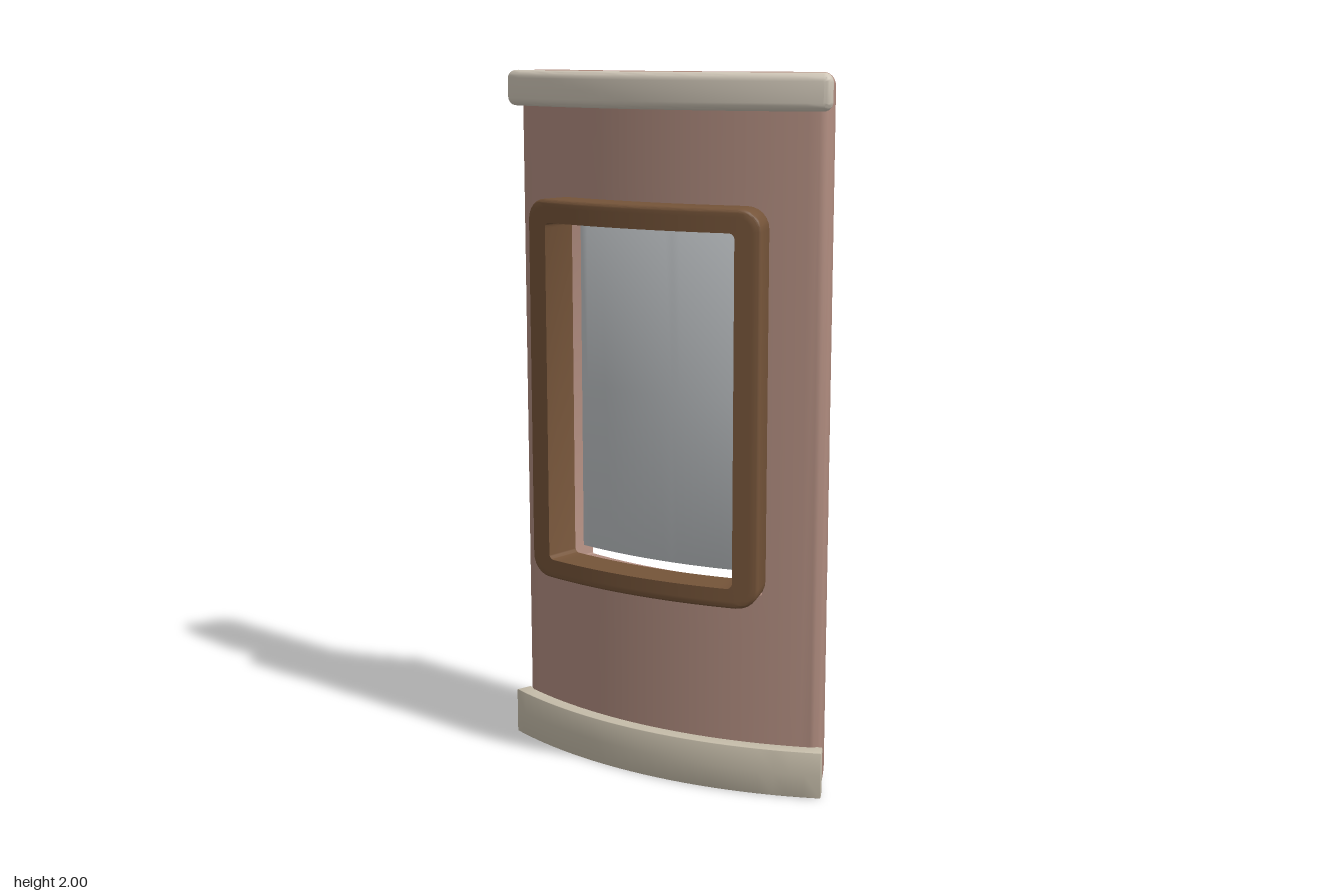
import * as THREE from 'three';
import { toCreasedNormals } from 'three/addons/utils/BufferGeometryUtils.js';

// Everything lies on one 45 degree arc: angle t in degrees, height y, radius r
const CX = -0.48, CZ = -1.127;
const DEG = 180 / Math.PI / 1.3; // degrees per unit of arc length
const place = (t, y, r) => {
  const a = THREE.MathUtils.degToRad(t);
  return [CX + r * Math.sin(a), y, CZ + r * Math.cos(a)];
};

// Rounded rectangle in (t, y), counterclockwise, always the same point count
function loop(t0, t1, y0, y1, rad) {
  const pts = [], corner = 6, edge = 24;
  const centres = [[t1 - rad * DEG, y0 + rad], [t1 - rad * DEG, y1 - rad],
    [t0 + rad * DEG, y1 - rad], [t0 + rad * DEG, y0 + rad]];
  centres.forEach(([ct, cy], q) => {
    for (let i = 0; i <= corner; i++) {
      const a = (q - 1 + i / corner) * Math.PI / 2;
      pts.push([ct + rad * DEG * Math.cos(a), cy + rad * Math.sin(a)]);
    }
    if (q % 2 === 1) { // long curved edges need extra points
      const from = pts[pts.length - 1];
      const to = q === 1 ? t0 + rad * DEG : t1 - rad * DEG;
      for (let i = 1; i < edge; i++) pts.push([from[0] + (to - from[0]) * i / edge, from[1]]);
    }
  });
  return pts;
}

// Curved slab with rounded edges, and an opening if hole is given
function slab({ t, y, r, rad = 0.004, bevel = 0.002, foot = 1, hole }) {
  const outline = inset => loop(t[0] + inset * DEG, t[1] - inset * DEG,
    y[0] + inset * foot, y[1] - inset, Math.max(rad - inset, 0.002));
  const mid = (y[0] + y[1]) / 2;
  const inner = hole ? loop(...hole.t, ...hole.y, hole.rad)
    : loop(t[0] + bevel * DEG, t[1] - bevel * DEG, mid, mid, 0);
  const face = outline(bevel), blend = hole ? 5 : 1, rounds = 5;
  const faceRing = (f, radius) => inner.map(([a, b], j) =>
    place(a + (face[j][0] - a) * f, b + (face[j][1] - b) * f, radius));
  const rings = [];
  for (let i = 0; i < blend; i++) rings.push(faceRing(i / blend, r[1]));
  for (const back of [false, true]) {
    for (let i = 0; i <= rounds; i++) {
      const a = (back ? rounds - i : i) / rounds * Math.PI / 2;
      const drop = bevel * (1 - Math.cos(a));
      rings.push(outline(bevel * (1 - Math.sin(a)))
        .map(([p, q]) => place(p, q, back ? r[0] + drop : r[1] - drop)));
    }
  }
  for (let i = blend - 1; i >= 0; i--) rings.push(faceRing(i / blend, r[0]));

  const n = inner.length, m = rings.length, index = [];
  for (let i = 0; i < (hole ? m : m - 1); i++) {
    for (let j = 0; j < n; j++) {
      const k = (j + 1) % n, a = i * n, b = ((i + 1) % m) * n;
      index.push(a + j, b + j, b + k, a + j, b + k, a + k);
    }
  }
  const geo = new THREE.BufferGeometry();
  geo.setAttribute('position', new THREE.Float32BufferAttribute(rings.flat(2), 3));
  geo.setIndex(index);
  return toCreasedNormals(geo, 0.55);
}

export function createModel() {
  const group = new THREE.Group();
  const material = (name, color) => {
    const m = new THREE.MeshStandardMaterial({ color });
    m.name = name;
    return m;
  };
  const add = (name, mat, options) => {
    const mesh = new THREE.Mesh(slab(options), mat);
    mesh.name = name;
    group.add(mesh);
  };

  // Curved wall with a window opening
  add('wall', material('dusty pink plaster', 0xb08c7f), {
    t: [0, 45], y: [0, 2], r: [1.18, 1.312], rad: 0.036, bevel: 0.035, foot: 0.35,
    hole: { t: [7.4, 37.3], y: [0.57, 1.625], rad: 0.004 },
  });
  // Window frame standing proud of the wall
  add('windowFrame', material('brown wood', 0x755439), {
    t: [7.2, 37.8], y: [0.555, 1.65], r: [1.308, 1.413], rad: 0.06, bevel: 0.012,
    hole: { t: [10.2, 34.8], y: [0.612, 1.585], rad: 0.015 },
  });
  // Thin pane behind the frame
  add('windowPane', material('pale grey glass', 0xbfc3c6), {
    t: [10.1, 34.9], y: [0.625, 1.59], r: [1.263, 1.272], bevel: 0.001,
  });
  // Rounded cornice and square skirting along the front
  add('cornice', material('cream trim', 0xd0c7b8), {
    t: [0, 45], y: [1.9, 2], r: [1.305, 1.357], rad: 0.024, bevel: 0.022,
  });
  add('skirting', material('stone trim', 0xc6bdaa), {
    t: [0, 45], y: [0, 0.135], r: [1.305, 1.352],
  });
  return group;
}
